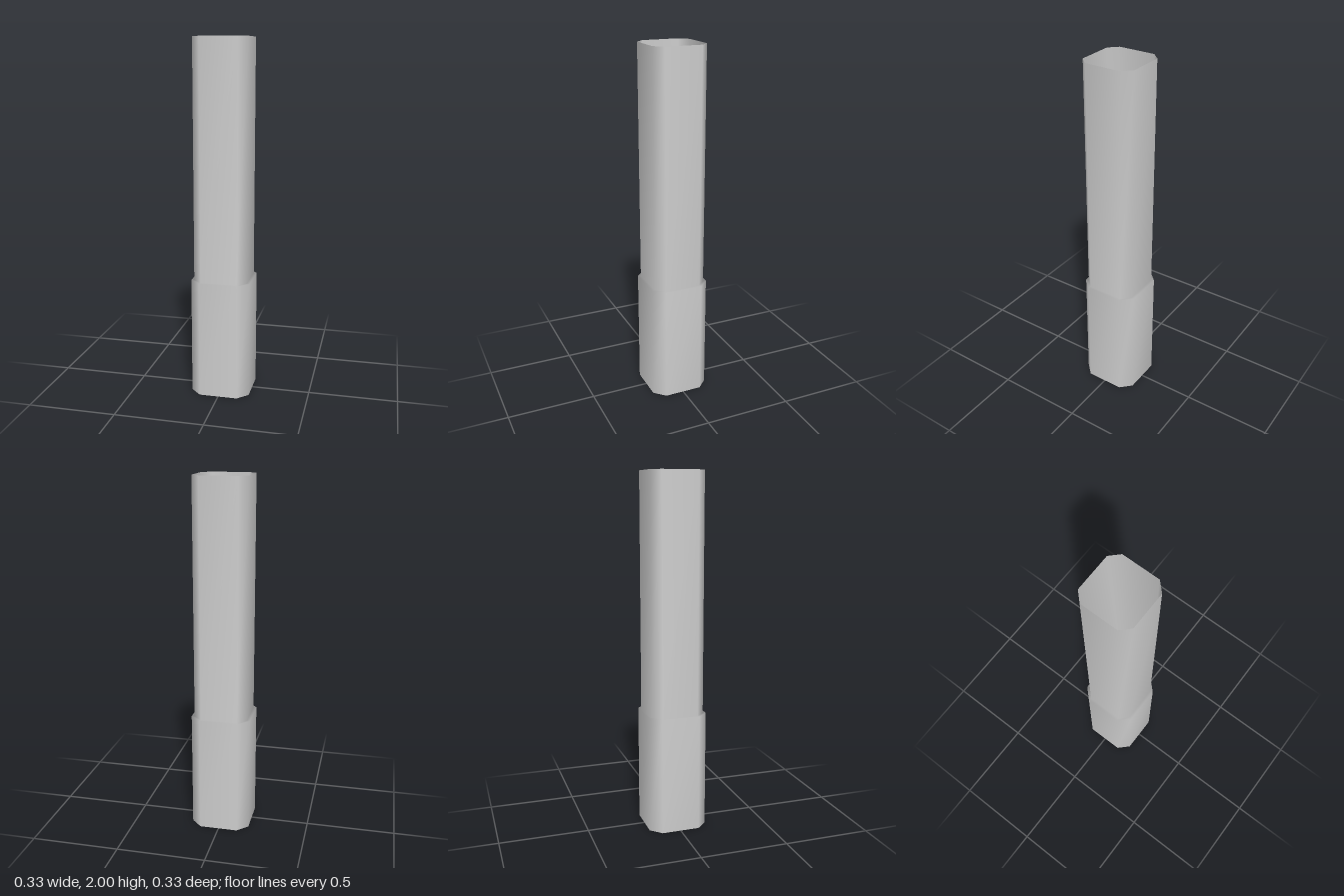
import * as THREE from 'three';

// Square outline with cut corners: h = half width, c = half length of the flat side
function outline(h, c) {
  return [[h, -c], [h, c], [c, h], [-c, h], [-h, c], [-h, -c], [-c, -h], [c, -h]];
}

// Open skin through rings of equal point count, from bottom to top
function loft(rings) {
  const positions = [];
  const index = [];
  const n = 8;
  for (const { y, h, c } of rings) {
    for (const [x, z] of outline(h, c)) positions.push(x, y, z);
  }
  for (let r = 0; r < rings.length - 1; r++) {
    for (let i = 0; i < n; i++) {
      const a = r * n + i;
      const b = r * n + (i + 1) % n;
      index.push(a, a + n, b, b, a + n, b + n);
    }
  }
  const geometry = new THREE.BufferGeometry();
  geometry.setAttribute('position', new THREE.Float32BufferAttribute(positions, 3));
  geometry.setIndex(index);
  geometry.computeVertexNormals();
  return geometry;
}

export function createModel() {
  const group = new THREE.Group();
  group.name = 'steppedTube';
  const material = new THREE.MeshStandardMaterial({ color: 0xcccccc, side: THREE.DoubleSide });

  // Wide sleeve, narrow ledge and slimmer tube as one smooth skin, open at both ends
  const tube = new THREE.Mesh(loft([
    { y: 0, h: 0.167, c: 0.108 },
    { y: 0.667, h: 0.167, c: 0.108 },
    { y: 0.667, h: 0.151, c: 0.103 },
    { y: 2, h: 0.151, c: 0.103 },
  ]), material);
  tube.name = 'tubeWithSleeve';
  group.add(tube);
  return group;
}
